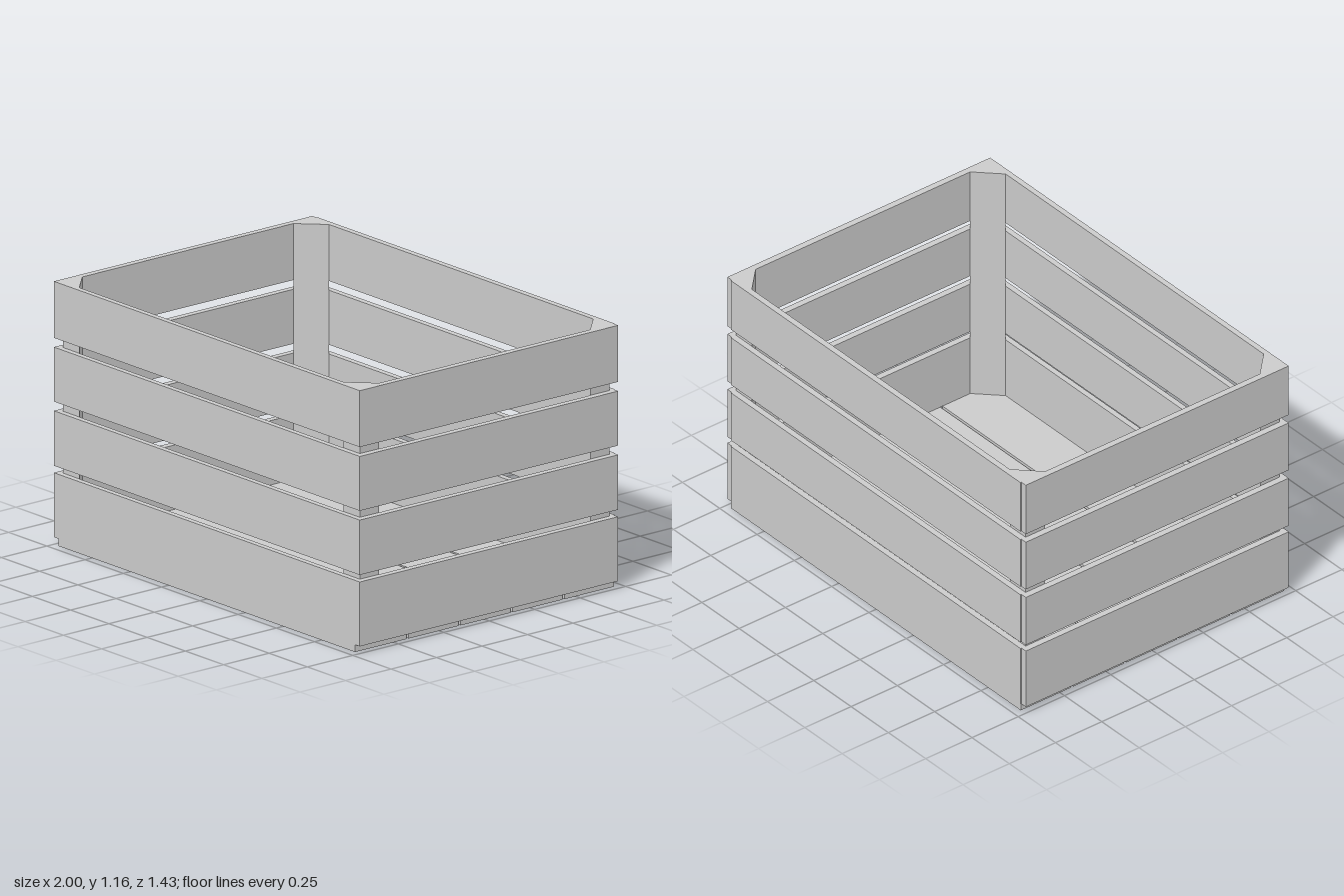
import * as THREE from 'three';

const material = new THREE.MeshStandardMaterial({ color: 0xcccccc, flatShading: true });

// Box given by its lower and upper corners
function board(parent, name, [x0, y0, z0], [x1, y1, z1]) {
  const mesh = new THREE.Mesh(new THREE.BoxGeometry(x1 - x0, y1 - y0, z1 - z0), material);
  mesh.position.set((x0 + x1) / 2, (y0 + y1) / 2, (z0 + z1) / 2);
  mesh.name = name;
  parent.add(mesh);
}

export function createModel() {
  const crate = new THREE.Group();
  crate.name = 'slattedCrate';

  const inX = 0.97, inZ = 0.686; // inner faces of the walls
  const floorTop = 0.032, top = 1.16;
  const rows = [[floorTop, 0.316], [0.347, 0.589], [0.63, 0.87], [0.911, top]];

  // Wall slats: long walls fit between the side walls, the back stands slightly proud
  for (const [y0, y1] of rows) {
    board(crate, 'frontSlat', [-inX, y0, inZ], [inX, y1, 0.712]);
    board(crate, 'backSlat', [-inX, y0, -0.714], [inX, y1, -inZ]);
    board(crate, 'leftSlat', [inX, y0, -0.709], [1, y1, 0.712]);
    board(crate, 'rightSlat', [-1, y0, -0.709], [-inX, y1, 0.712]);
  }

  // Floor planks with narrow gaps
  const planks = [[-0.712, -0.44], [-0.428, -0.154], [-0.142, 0.132], [0.144, 0.418], [0.43, 0.712]];
  for (const [z0, z1] of planks) {
    board(crate, 'floorPlank', [-inX, 0, z0], [inX, floorTop, z1]);
  }

  // Triangular corner posts
  const leg = 0.106;
  for (const sx of [-1, 1]) {
    for (const sz of [-1, 1]) {
      // shape y maps to -z once the extrusion is stood upright
      const shape = new THREE.Shape([
        new THREE.Vector2(sx * inX, -sz * inZ),
        new THREE.Vector2(sx * (inX - leg), -sz * inZ),
        new THREE.Vector2(sx * inX, -sz * (inZ - leg)),
      ]);
      const geometry = new THREE.ExtrudeGeometry(shape, { depth: top - floorTop, bevelEnabled: false });
      geometry.rotateX(-Math.PI / 2);
      const post = new THREE.Mesh(geometry, material);
      post.position.y = floorTop;
      post.name = 'cornerPost';
      crate.add(post);
    }
  }
  return crate;
}
